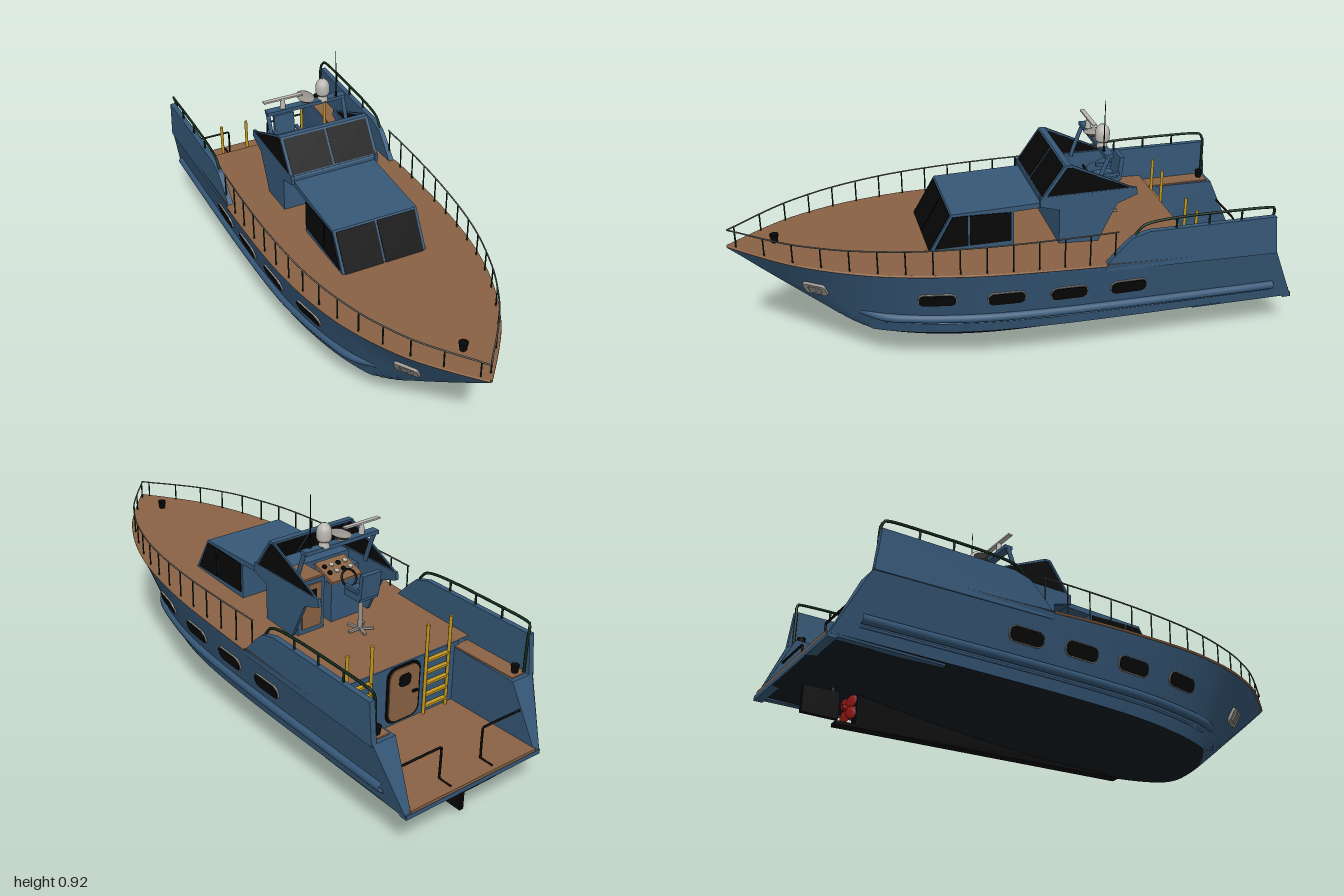
import * as THREE from 'three';
import { ConvexGeometry } from 'three/addons/geometries/ConvexGeometry.js';

const mat = (name, color, side = THREE.FrontSide) => {
  const m = new THREE.MeshStandardMaterial({ color, side });
  m.name = name;
  return m;
};
const V = (x, y, z) => new THREE.Vector3(x, y, z);

export function createModel() {
  const model = new THREE.Group();
  model.name = 'motorYacht';
  const blue = mat('hullBlue', 0x365878, THREE.DoubleSide);
  const bottomDark = mat('bottomDark', 0x151c21, THREE.DoubleSide);
  const wood = mat('deckBrown', 0x8a6244, THREE.DoubleSide);
  const black = mat('glassBlack', 0x070707);
  const white = mat('domeWhite', 0xbcb8b2);
  const steel = mat('steelGrey', 0x98948e);
  const railGrey = mat('railGrey', 0x5c605e);
  const green = mat('darkGreen', 0x10271a);
  const yellow = mat('ladderYellow', 0xc4981f);
  const red = mat('propellerRed', 0x8c1212);

  const add = (name, geo, m, parent = model) => {
    const o = new THREE.Mesh(geo, m);
    o.name = name;
    parent.add(o);
    return o;
  };
  const box = (name, m, w, h, d, x, y, z, tilt = 0) => {
    const o = add(name, new THREE.BoxGeometry(w, h, d), m);
    o.position.set(x, y, z);
    o.rotation.x = tilt;
    return o;
  };
  const cyl = (name, m, r1, r2, h, x, y, z, n = 16) => {
    const o = add(name, new THREE.CylinderGeometry(r1, r2, h, n), m);
    o.position.set(x, y, z);
    return o;
  };
  const tube = (name, m, pts, r, seg = 40, curved = true) => {
    const path = new THREE.CatmullRomCurve3(pts, false, 'catmullrom', curved ? 0.5 : 0.05);
    return add(name, new THREE.TubeGeometry(path, seg, r, 8), m);
  };
  // side profile given as [z, y] pairs, extruded across x
  const profile = (name, m, pts, w, cx = 0) => {
    const s = new THREE.Shape(pts.map(p => new THREE.Vector2(...p)));
    const g = new THREE.ExtrudeGeometry(s, { depth: w, bevelEnabled: false });
    g.rotateY(-Math.PI / 2).translate(cx + w / 2, 0, 0);
    return add(name, g, m);
  };
  const loft = (rows) => {
    const n = rows[0].length, idx = [];
    for (let i = 0; i < rows.length - 1; i++)
      for (let j = 0; j < n - 1; j++) {
        const a = i * n + j, b = a + n;
        idx.push(a, b, a + 1, b, b + 1, a + 1);
      }
    const g = new THREE.BufferGeometry().setFromPoints(rows.flat());
    g.setIndex(idx);
    g.computeVertexNormals();
    return g;
  };

  // hull lines: keel, chine and sheer share the same stations
  const line = pts => new THREE.CatmullRomCurve3(pts.map(p => V(...p)), false, 'catmullrom');
  const keel = line([[0, .462, 1], [0, .375, .9], [0, .29, .8], [0, .205, .7], [0, .125, .6], [0, .072, .5], [0, .045, .35],
    [0, .033, .15], [0, .036, -.1], [0, .055, -.35], [0, .085, -.6], [0, .115, -.8], [0, .14, -.99]]);
  const chine = line([[0, .464, 1], [.022, .385, .9], [.045, .31, .8], [.075, .24, .7], [.12, .18, .6], [.17, .15, .5], [.22, .138, .35],
    [.26, .135, .15], [.28, .138, -.1], [.287, .14, -.35], [.289, .143, -.6], [.29, .146, -.8], [.29, .15, -.99]]);
  const sheer = line([[0, .468, 1], [.085, .463, .9], [.16, .458, .8], [.215, .453, .7], [.258, .448, .6], [.29, .443, .5], [.322, .437, .35],
    [.343, .427, .15], [.35, .417, -.1], [.347, .404, -.35], [.345, .395, -.6], [.344, .388, -.8], [.342, .38, -.885]]);
  const side = (t, v) => chine.getPoint(t).lerp(sheer.getPoint(t), v);
  // section from keel (u = 0) over the chine (1) to the sheer (2)
  const section = (t, u) => {
    if (u > 1) return side(t, u - 1);
    const p = keel.getPoint(t).lerp(chine.getPoint(t), u);
    p.y -= .008 * u * Math.sin(2 * Math.PI * u) * THREE.MathUtils.smoothstep(t, .3, .5);
    return p;
  };
  const waterline = t => {
    let lo = 0, hi = 2;
    for (let i = 0; i < 30; i++) { const u = (lo + hi) / 2; if (section(t, u).y < .158) lo = u; else hi = u; }
    return lo;
  };
  const hullAt = (z, y) => {
    let lo = 0, hi = 1, v = 0.5;
    for (let i = 0; i < 40; i++) {
      const t = (lo + hi) / 2, c = chine.getPoint(t), s = sheer.getPoint(t);
      v = THREE.MathUtils.clamp((y - c.y) / (s.y - c.y), 0, 1);
      if (side(t, v).z > z) lo = t; else hi = t;
    }
    const p = side(lo, v);
    const n = side(lo + .004, v).sub(p).cross(side(lo, v + .01).sub(p)).normalize();
    if (n.x < 0) n.negate();
    return { p, n };
  };
  const sheerAt = z => {
    let lo = 0, hi = 1;
    for (let i = 0; i < 40; i++) { const t = (lo + hi) / 2; if (sheer.getPoint(t).z > z) lo = t; else hi = t; }
    return sheer.getPoint(lo);
  };
  const T = Array.from({ length: 161 }, (_, i) => i / 160);
  const flip = (p, s) => V(p.x * s, p.y, p.z);
  for (const s of [1, -1]) {
    add('hullSide', loft(T.map(t => {
      const u0 = waterline(t);
      return [0, .125, .25, .375, .5, .625, .75, .875, 1].map(k => flip(section(t, u0 + (2 - u0) * k), s));
    })), blue);
  }
  add('hullBottom', loft(T.filter(t => keel.getPoint(t).y < .16).map(t => {
    const u0 = waterline(t);
    return [-1, -.8, -.6, -.4, -.2, 0, .2, .4, .6, .8, 1].map(k => flip(section(t, u0 * Math.abs(k)), Math.sign(k)));
  })), bottomDark);

  // main deck, ending at the cockpit bulkhead
  const zs = Array.from({ length: 50 }, (_, i) => .999 - i * 1.609 / 49);
  add('mainDeck', loft(zs.map(z => { const p = sheerAt(z); return [-1, 0, 1].map(u => V(p.x * u, p.y + .004, z)); })), wood);
  for (const s of [1, -1]) {
    tube('deckEdge', wood, zs.filter(z => z > -.28).map(z => { const p = sheerAt(z); return V(p.x * s, p.y, z); }), .0045, 80);
    tube('sprayRail', blue, [.58, .5, .4, .2, 0, -.3, -.6, -.9].map((z, i) => {
      const { p, n } = hullAt(z, .24 - i * .003);
      return flip(p.addScaledVector(n, i ? .003 : -.012), s);
    }), .016, 60);
    tube('lowerRail', blue, [.5, .3, 0, -.4, -.9].map((z, i) => flip(hullAt(z, .208 - i * .003).p, s)), .004, 50);
  }

  // portholes and bow fairleads
  const rounded = (w, h, r) => {
    const s = new THREE.Shape();
    [[w / 2 - r, h / 2 - r, 0], [r - w / 2, h / 2 - r, 1], [r - w / 2, r - h / 2, 2], [w / 2 - r, r - h / 2, 3]]
      .forEach(([x, y, q]) => s.absarc(x, y, r, q * Math.PI / 2, (q + 1) * Math.PI / 2, false));
    return s;
  };
  const slab = (shape, depth) => new THREE.ExtrudeGeometry(shape, { depth, bevelEnabled: false, curveSegments: 6 });
  const onHull = (name, z, y, s) => {
    const { p, n } = hullAt(z, y), g = new THREE.Group();
    g.name = name;
    g.position.copy(flip(p, s));
    g.lookAt(flip(p.clone().add(n), s));
    model.add(g);
    return g;
  };
  for (const s of [1, -1]) {
    [[.33, .325], [.095, .316], [-.125, .31], [-.34, .305]].forEach(([z, y]) => {
      const g = onHull('porthole', z, y, s);
      add('portholeFrame', slab(rounded(.132, .056, .023), .005), steel, g);
      add('portholeGlass', slab(rounded(.125, .05, .02), .0075), black, g);
    });
    const g = onHull('fairlead', .72, .335, s);
    const plate = rounded(.085, .06, .012);
    plate.holes.push(rounded(.05, .03, .006));
    add('fairleadPlate', slab(plate, .01), steel, g);
    for (const x of [-.012, .012]) add('fairleadBar', slab(rounded(.014, .042, .004), .013).translate(x, 0, 0), steel, g);
  }

  // skeg, rudder and propeller
  profile('skeg', black, [[.25, .031], [-.83, 0], [-.83, .012], [-.765, .014], [-.765, .13], [0, .05]], .036);
  box('rudder', black, .016, .09, .12, 0, .065, -.88);
  cyl('rudderStock', black, .008, .008, .07, 0, .12, -.84);
  const hub = cyl('propellerHub', red, .01, .013, .045, 0, .065, -.785);
  hub.rotation.x = -Math.PI / 2;
  for (let i = 0; i < 4; i++) {
    const a = i * Math.PI / 2 + .785;
    const b = add('propellerBlade', new THREE.SphereGeometry(1, 12, 8), red);
    b.scale.set(.02, .024, .005);
    b.position.set(Math.sin(a) * .026, .065 + Math.cos(a) * .026, -.785);
    b.rotation.set(0, .5, -a);
  }

  // stern cockpit
  box('cockpitFloor', wood, .54, .014, .38, 0, .163, -.8);
  box('transom', blue, .58, .016, .03, 0, .152, -.976);
  box('bulkhead', blue, .56, .235, .01, 0, .278, -.606);
  for (const [name, m, w, h, d] of [['doorFrame', black, .145, .212, .005], ['cockpitDoor', wood, .13, .198, .009]])
    add(name, slab(rounded(w, h, .035), d), m).position.set(-.03, .285, -.611 - d);
  add('doorWindow', slab(rounded(.05, .045, .015), .004), black).position.set(-.03, .335, -.623);
  box('doorHandle', black, .02, .008, .008, -.075, .28, -.623);
  add('lifeRing', new THREE.TorusGeometry(.028, .007, 8, 24), white).position.set(.171, .32, -.612);
  for (const s of [1, -1]) {
    const c = [];
    for (const [x, y, z] of [[.34, .375, -.605], [.34, .375, -.885], [.26, .375, -.605], [.25, .375, -.885],
      [.286, .15, -.605], [.29, .15, -.99], [.262, .15, -.605], [.268, .15, -.99]]) c.push(V(x * s, y, z));
    add('sternWing', new ConvexGeometry(c), blue);
    box('sideDeck', wood, .066, .006, .265, .294 * s, .377, -.738);
    profile('bulwark', blue, [[-.25, .385], [-.25, .41], [-.3, .465], [-.34, .503], [-.4, .52], [-.87, .517], [-.886, .37]], .02, .335 * s);
    tube('bulwarkRail', green, [V(.335 * s, .51, -.35), V(.335 * s, .545, -.39), V(.335 * s, .557, -.5), V(.335 * s, .557, -.7),
      V(.335 * s, .553, -.84), V(.328 * s, .54, -.865), V(.32 * s, .5, -.868), V(.318 * s, .38, -.868)], .005, 60);
    for (const z of [-.5, -.62, -.74]) cyl('bulwarkPost', green, .004, .004, .045, .335 * s, .535, z, 8);
    cyl('sternBollard', black, .015, .01, .03, .295 * s, .392, -.85);
    tube('sternGate', black, [V(.09 * s, .17, -.975), V(.09 * s, .17, -.92), V(.09 * s, .285, -.92), V(.255 * s, .285, -.92)], .004, 60, false);
    // ladder
    for (const x of [.12, .222]) cyl('ladderPost', yellow, .006, .006, .34, x * s, .342, -.622, 8);
    for (let i = 0; i < 5; i++) box('ladderRung', yellow, .1, .008, .016, .171 * s, .2 + i * .044, -.622);
  }

  // bow rail
  for (const s of [1, -1]) {
    const at = (z, y) => V(Math.max(0, sheerAt(z).x - .008) * s, y, z);
    tube('bowRail', railGrey, [.995, .95, .9, .8, .7, .6, .45, .3, .1, -.1, -.29].map(z => at(z, .53)), .0028, 70);
    for (let i = 0; i < 15; i++) {
      const z = .97 - i * .0893, p = at(z, 0), y0 = sheerAt(z).y;
      cyl('stanchion', green, .0026, .0026, .53 - y0, p.x, (y0 + .53) / 2, z, 6);
    }
  }
  cyl('bowBollard', black, .016, .011, .03, 0, .479, .84);

  // forward cabin
  profile('forwardCabin', blue, [[.338, .42], [.25, .573], [-.07, .58], [-.07, .562], [.03, .558], [.03, .4]], .32);
  const a1 = -Math.atan2(.088, .153);
  for (const s of [1, -1]) {
    box('lowerWindscreen', black, .146, .16, .006, .077 * s, .4975, .2935, a1);
    profile('cabinSideWindow', black, [[.31, .448], [.247, .563], [.193, .563], [.193, .448]], .006, .16 * s);
    profile('cabinSideWindow', black, [[.186, .448], [.186, .563], [.04, .558], [.04, .448]], .006, .16 * s);
  }

  // flybridge
  box('flybridgeFront', blue, .33, .035, .1, 0, .583, -.115);
  box('flybridgeBody', blue, .32, .17, .09, 0, .485, -.175);
  const a2 = -Math.atan2(.08, .115);
  box('upperWindscreenFrame', blue, .345, .15, .008, 0, .654, -.108, a2);
  box('windscreenTop', blue, .345, .008, .022, 0, .713, -.158);
  for (const s of [1, -1]) {
    box('upperWindscreen', black, .158, .132, .0098, .083 * s, .656, -.109, a2);
    profile('flybridgeSide', blue, [[-.06, .605], [-.41, .605], [-.415, .578], [-.34, .55], [-.27, .405], [-.13, .405], [-.13, .55], [-.06, .57]], .012, .166 * s);
    profile('sideScreenFrame', blue, [[-.065, .6], [-.15, .716], [-.172, .716], [-.41, .6]], .006, .168 * s);
    profile('sideScreen', black, [[-.085, .608], [-.154, .707], [-.172, .707], [-.385, .608]], .009, .168 * s);
    tube('archLeg', blue, [V(.15 * s, .6, -.265), V(.15 * s, .66, -.285), V(.15 * s, .725, -.31)], .008, 10);
  }
  box('archBar', blue, .31, .014, .03, 0, .726, -.31);

  // helm, cabinet and seat
  box('cabinet', blue, .11, .2, .115, .1, .505, -.2275);
  box('cabinetTop', wood, .1, .008, .11, .1, .608, -.228);
  box('cabinetDoor', wood, .08, .16, .006, .1, .51, -.287);
  box('cabinetWindow', black, .035, .05, .004, .1, .545, -.291);
  box('helmConsole', blue, .13, .15, .1, -.06, .48, -.225);
  box('dashboard', wood, .13, .012, .105, -.06, .577, -.229, -.35);
  for (let i = 0; i < 4; i++)
    for (const z of [-.21, -.24]) cyl('gauge', i % 2 ? black : white, .009, .009, .01, -.105 + i * .03, .585 + (z + .225) * .36, z).rotation.x = -.35;
  const wheel = add('steeringWheel', new THREE.TorusGeometry(.03, .004, 8, 24), black);
  wheel.position.set(-.05, .575, -.3);
  wheel.rotation.x = .5;
  cyl('seatPost', steel, .008, .008, .13, -.045, .475, -.37);
  for (let i = 0; i < 5; i++) {
    const f = box('seatFoot', steel, .05, .008, .01, -.045, .414, -.37);
    f.rotation.y = i * Math.PI * .4;
    f.translateX(.022);
  }
  box('seatCushion', blue, .08, .025, .08, -.045, .55, -.37);
  box('seatBack', blue, .08, .09, .016, -.045, .595, -.412, -.1);
  for (const s of [1, -1]) box('armrest', blue, .012, .012, .06, -.045 + .046 * s, .58, -.375);

  // radar and antennas on the arch
  cyl('domeBase', white, .014, .02, .025, .07, .74, -.31);
  add('radarDome', new THREE.LatheGeometry([[0, 0], [.022, 0], [.026, .01], [.026, .036], [.021, .05], [.011, .06], [0, .063]]
    .map(p => new THREE.Vector2(...p)), 24), white).position.set(.07, .75, -.31);
  cyl('lampPost', steel, .009, .013, .02, 0, .738, -.31);
  cyl('lampBowl', railGrey, .031, .018, .014, 0, .75, -.31, 20).scale.z = 1.5;
  cyl('lampCap', steel, .016, .031, .008, 0, .761, -.31, 20).scale.z = 1.5;
  cyl('scannerPost', white, .008, .011, .045, -.09, .75, -.31);
  box('scannerBar', white, .15, .006, .016, -.09, .772, -.31);
  cyl('whipBase', black, .004, .005, .02, .12, .742, -.3, 8);
  cyl('whipAntenna', black, .0012, .0024, .18, .12, .83, -.3, 6);
  return model;
}
